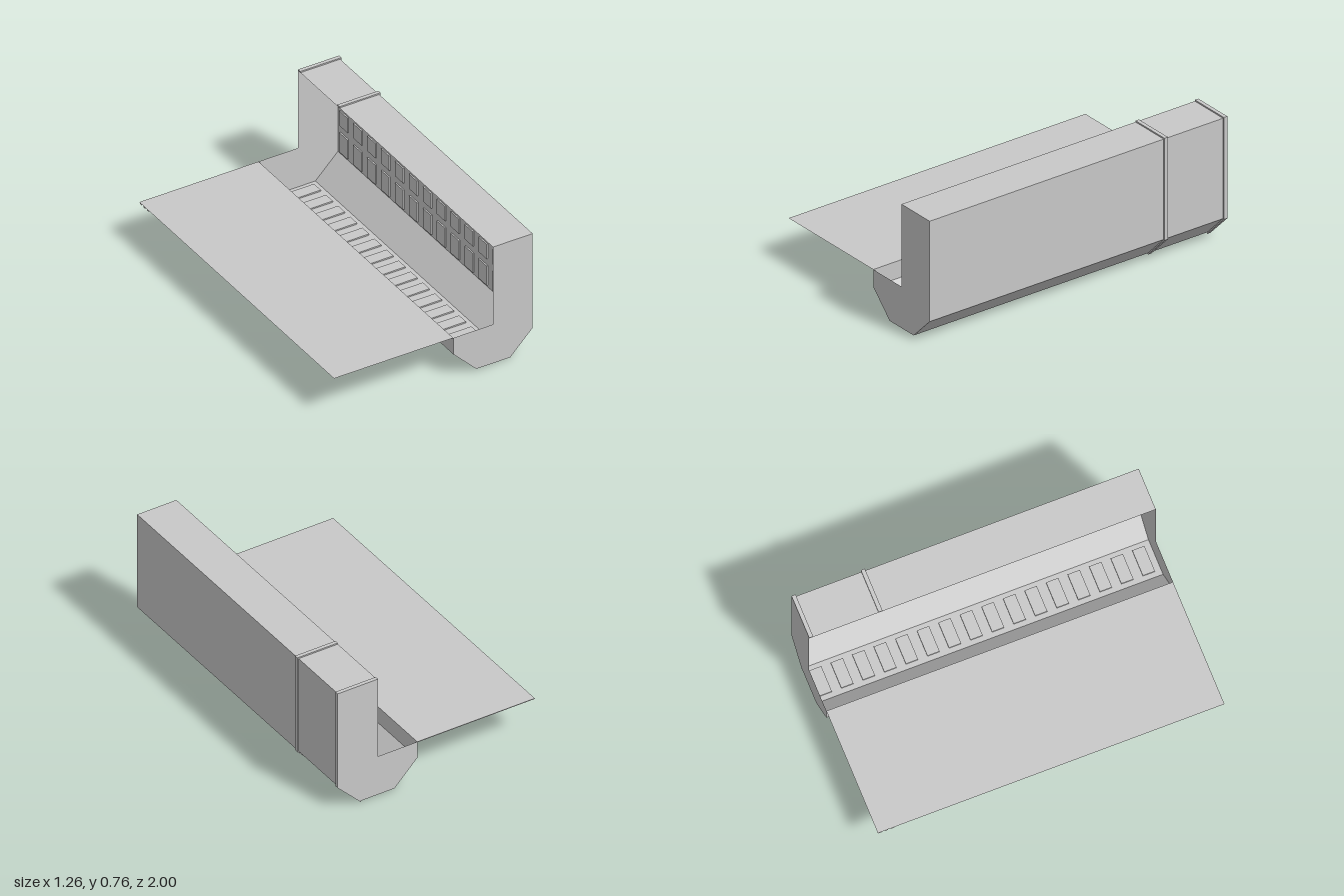
import * as THREE from 'three';

export function createModel() {
  const model = new THREE.Group();
  model.name = 'trenchBuilding';
  const grey = new THREE.MeshStandardMaterial({ color: 0xc8c8c8, side: THREE.DoubleSide });
  grey.name = 'concreteGrey';

  function add(name, geometry, parent = model) {
    const mesh = new THREE.Mesh(geometry, grey);
    mesh.name = name;
    parent.add(mesh);
    return mesh;
  }
  function group(name) {
    const g = new THREE.Group();
    g.name = name;
    model.add(g);
    return g;
  }
  function box(name, [x0, x1], [y0, y1], [z0, z1], parent) {
    const mesh = add(name, new THREE.BoxGeometry(x1 - x0, y1 - y0, z1 - z0), parent);
    mesh.position.set((x0 + x1) / 2, (y0 + y1) / 2, (z0 + z1) / 2);
  }
  const shapeOf = (points) => new THREE.Shape(points.map(([x, y]) => new THREE.Vector2(x, y)));

  // Open shell: near lip, two sloped sides, floor, tall wall and roof
  const profile = [
    [0.12, 0.258], [0.12, 0.153], [0.265, 0.008], [0.478, 0.008],
    [0.62, 0.15], [0.62, 0.757], [0.37, 0.757],
  ];
  const shellParts = ['lip', 'nearSlope', 'floor', 'farSlope', 'tallWall', 'roof'];
  const shell = group('shell');
  shellParts.forEach((name, i) => {
    const [ax, ay] = profile[i];
    const [bx, by] = profile[i + 1];
    const geometry = new THREE.BufferGeometry();
    geometry.setAttribute('position', new THREE.Float32BufferAttribute(
      [ax, ay, 1, ax, ay, -1, bx, by, -1, bx, by, 1], 3));
    geometry.setIndex([0, 1, 2, 0, 2, 3]);
    geometry.computeVertexNormals();
    add(name, geometry, shell);
  });

  // End walls close the shell, following its section
  for (const side of [1, -1]) {
    const cap = add(side > 0 ? 'frontEndWall' : 'backEndWall',
      new THREE.ShapeGeometry(shapeOf([...profile, [0.37, 0.258]])));
    cap.position.z = side;
    if (side < 0) {
      // Mirror the face so it looks outward at the back
      cap.geometry.index.array.reverse();
      cap.geometry.attributes.normal.array.forEach((v, i, a) => { a[i] = -v; });
    }
  }

  // Ground sheet beside the trench, with shallow ledges below its back edge
  const ground = add('groundSheet', new THREE.PlaneGeometry(0.75, 2).rotateX(-Math.PI / 2));
  ground.position.set(-0.255, 0.258, 0);
  const ledges = group('ledges');
  for (let i = 0; i < 3; i++) {
    box('ledge', [-0.63, 0.12], [0.25, 0.2575], [-0.995 + i * 0.036, -0.977 + i * 0.036], ledges);
  }

  // Ribs wrapping the outside of the roof, wall and slope
  const ribShape = shapeOf([
    [0.37, 0.757], [0.62, 0.757], [0.62, 0.15], [0.478, 0.008],
    [0.48, 0], [0.628, 0.148], [0.628, 0.765], [0.37, 0.765],
  ]);
  const ribs = group('ribs');
  for (const z of [-1, -0.6]) {
    const rib = add('rib', new THREE.ExtrudeGeometry(ribShape, { depth: 0.023, bevelEnabled: false }), ribs);
    rib.position.z = z;
  }

  // Rows of panels on the inner face of the tall wall, bottom row tallest
  const panels = group('wallPanels');
  for (const [y0, y1] of [[0.165, 0.29], [0.335, 0.43], [0.475, 0.57], [0.615, 0.71]]) {
    for (let i = 0; i < 14; i++) {
      const z = -0.93 + i * 0.143;
      box('wallPanel', [0.611, 0.619], [y0, y1], [z - 0.042, z + 0.042], panels);
    }
  }

  // Row of plates along the floor
  const plates = group('floorPlates');
  for (let i = 0; i < 16; i++) {
    const z = -0.934 + i * 0.1243;
    box('floorPlate', [0.295, 0.45], [0.009, 0.017], [z - 0.035, z + 0.035], plates);
  }
  return model;
}
